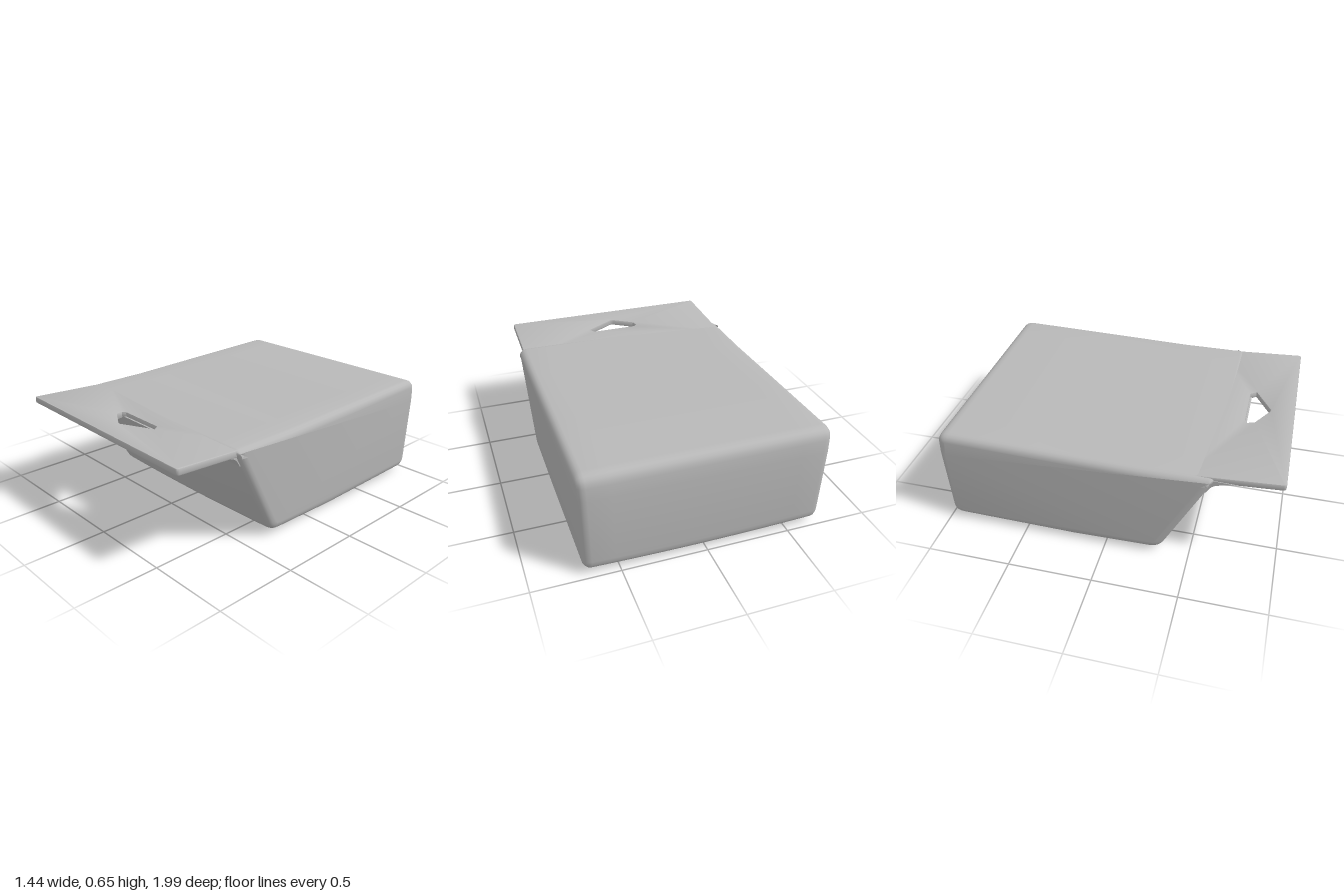
import * as THREE from 'three';
import { toCreasedNormals } from 'three/addons/utils/BufferGeometryUtils.js';

// Closed shape through the points; each point is [u, v, cornerRadius]
function roundedShape(points) {
  const shape = new THREE.Shape();
  const n = points.length;
  points.forEach(([u, v, r = 0], i) => {
    const p = new THREE.Vector2(u, v);
    const toward = ([a, b]) => new THREE.Vector2(a, b).sub(p).setLength(r).add(p);
    const a = toward(points[(i + n - 1) % n]);
    const b = toward(points[(i + 1) % n]);
    if (i === 0) shape.moveTo(a.x, a.y);
    else shape.lineTo(a.x, a.y);
    if (r > 0) shape.quadraticCurveTo(u, v, b.x, b.y);
  });
  shape.closePath();
  return shape;
}

// Move every vertex by a rule
function deform(geometry, rule) {
  const pos = geometry.attributes.position;
  const p = new THREE.Vector3();
  for (let i = 0; i < pos.count; i++) {
    p.fromBufferAttribute(pos, i);
    rule(p);
    pos.setXYZ(i, p.x, p.y, p.z);
  }
  return toCreasedNormals(geometry, 0.6);
}

// Side profile (z, y) swept across the width with rounded edges
function sweepAcross(points, width, bevel) {
  const g = new THREE.ExtrudeGeometry(roundedShape(points), {
    depth: width - 2 * bevel, steps: 10, curveSegments: 5,
    bevelEnabled: bevel > 0, bevelSize: bevel, bevelThickness: bevel,
    bevelOffset: -bevel, bevelSegments: 4,
  });
  g.translate(0, 0, -(width - 2 * bevel) / 2);
  g.rotateY(-Math.PI / 2);
  return g;
}

export function createModel() {
  const group = new THREE.Group();
  const grey = new THREE.MeshStandardMaterial({ color: 0xb8b8b8 });
  grey.name = 'grey';
  const add = (name, geometry) => {
    const mesh = new THREE.Mesh(geometry, grey);
    mesh.name = name;
    group.add(mesh);
  };

  // Box with a sloping front, slightly narrower and bowed at the bottom
  const body = sweepAcross([
    [0.325, 0.012, 0.06], [0.623, 0.622, 0.04], [0.2, 0.62], [-0.4, 0.634],
    [-0.99, 0.646, 0.07], [-0.998, 0.5], [-0.985, 0.012, 0.07], [-0.2, 0],
  ], 1.44, 0.048);
  add('body', deform(body, (p) => {
    const low = 1 - p.y / 0.63;
    p.x *= 1 - 0.025 * low;
    p.y += 0.014 * low * (p.x / 0.7) ** 2;
  }));

  // Curved underside where the flap leaves the body
  const fillet = sweepAcross([
    [0.5, 0.52], [0.573, 0.52], [0.605, 0.573, 0.03], [0.72, 0.602], [0.5, 0.61],
  ], 1.375, 0);
  add('flapFillet', toCreasedNormals(fillet, 0.6));

  // Hanging flap with a wedge-shaped hole, rising gently to the front
  const plan = roundedShape([
    [-0.685, 0.45], [0.695, 0.45], [0.69, 0.99, 0.015], [-0.68, 0.99, 0.015],
  ]);
  plan.holes.push(new THREE.Path([
    [-0.145, 0.725], [-0.125, 0.71], [0.165, 0.71], [0.19, 0.745],
    [0.01, 0.845], [-0.005, 0.845], [-0.135, 0.765],
  ].map(([x, z]) => new THREE.Vector2(x, z))));
  const bevel = 0.008;
  const thickness = 0.04;
  const flap = new THREE.ExtrudeGeometry(plan, {
    depth: thickness - 2 * bevel, bevelEnabled: true, bevelSize: bevel,
    bevelThickness: bevel, bevelOffset: -bevel, bevelSegments: 2, curveSegments: 4,
  });
  flap.rotateX(Math.PI / 2);
  flap.translate(0, -bevel, 0);
  add('flap', deform(flap, (p) => {
    p.y += 0.617 + 0.06 * (p.z - 0.5) - 0.005 * p.x;
  }));

  return group;
}
